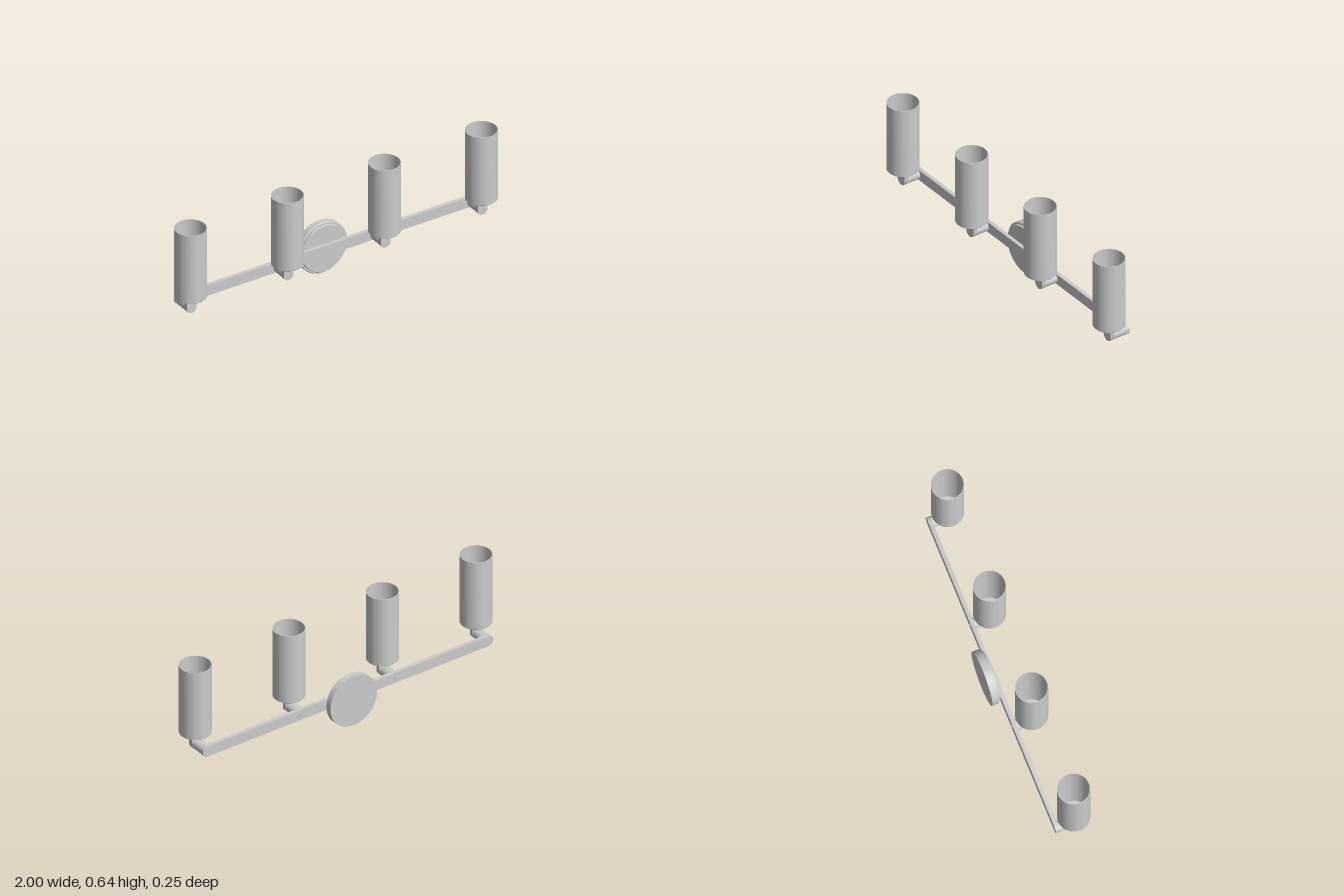
import * as THREE from 'three';
import { toCreasedNormals } from 'three/addons/utils/BufferGeometryUtils.js';

const mat = new THREE.MeshStandardMaterial({ color: 0xcccccc });
const AXIS_Y = 0.153; // height of bar, arms and wall plate

function part(name, geometry, parent, x = 0, y = 0, z = 0) {
  const mesh = new THREE.Mesh(geometry, mat);
  mesh.name = name;
  mesh.position.set(x, y, z);
  parent.add(mesh);
  return mesh;
}

// Solid of revolution from [radius, height] pairs
function lathe(points, segments = 64) {
  const profile = points.map(([r, h]) => new THREE.Vector2(r, h));
  return toCreasedNormals(new THREE.LatheGeometry(profile, segments), 0.6);
}

function extrude(shape, depth) {
  const g = new THREE.ExtrudeGeometry(shape, { depth, bevelEnabled: false, curveSegments: 24 });
  return toCreasedNormals(g, 0.6);
}

// Flat bar with half-round ends
function barShape(half, r) {
  const s = new THREE.Shape();
  s.moveTo(-half, -r);
  s.lineTo(half, -r);
  s.absarc(half, 0, r, -Math.PI / 2, Math.PI / 2, false);
  s.lineTo(-half, r);
  s.absarc(-half, 0, r, Math.PI / 2, Math.PI * 1.5, false);
  return s;
}

// Upright strip with a half-round foot
function stemShape(r, height) {
  const s = new THREE.Shape();
  s.moveTo(r, 0);
  s.lineTo(r, height);
  s.lineTo(-r, height);
  s.lineTo(-r, 0);
  s.absarc(0, 0, r, Math.PI, Math.PI * 2, false);
  return s;
}

export function createModel() {
  const model = new THREE.Group();
  model.name = 'wallLight';

  // Wall canopy: wide disc against the wall, slimmer disc in front
  const canopy = lathe([[0, 0], [0.152, 0], [0.152, 0.035], [0.149, 0.038], [0, 0.038]], 96);
  part('wallPlate', canopy, model, 0, 0.152, -0.124).rotation.x = Math.PI / 2;
  const cover = lathe([[0, 0], [0.139, 0], [0.139, 0.011], [0.137, 0.013], [0, 0.013]], 96);
  part('coverPlate', cover, model, 0, AXIS_Y, -0.086).rotation.x = Math.PI / 2;

  // Crossbar
  part('crossbar', extrude(barShape(0.912, 0.031), 0.022), model, 0, AXIS_Y, -0.074);

  // Shared lamp geometries
  const arm = new THREE.CylinderGeometry(0.0305, 0.0305, 0.08, 40);
  const stem = extrude(stemShape(0.031, 0.071), 0.024);
  const shade = lathe([
    [0, 0], [0.084, 0], [0.0875, 0.0035], [0.0875, 0.418],
    [0.084, 0.418], [0.084, 0.006], [0, 0.006],
  ]);
  const socket = lathe([[0.04, 0], [0.04, 0.008], [0, 0.008]], 40);
  const screw = new THREE.CylinderGeometry(0.008, 0.008, 0.006, 20);

  // Four lamps along the bar
  for (const x of [-0.912, -0.304, 0.304, 0.912]) {
    const lamp = new THREE.Group();
    lamp.name = 'lamp';
    lamp.position.x = x;
    part('arm', arm, lamp, 0, AXIS_Y, -0.014).rotation.x = Math.PI / 2;
    part('stem', stem, lamp, 0, AXIS_Y, 0.025);
    part('shade', shade, lamp, 0, 0.22, 0.037);
    part('socketBase', socket, lamp, 0, 0.226, 0.037);
    if (Math.abs(x) < 0.5) part('screw', screw, lamp, 0, AXIS_Y, -0.077).rotation.x = Math.PI / 2;
    model.add(lamp);
  }
  return model;
}
